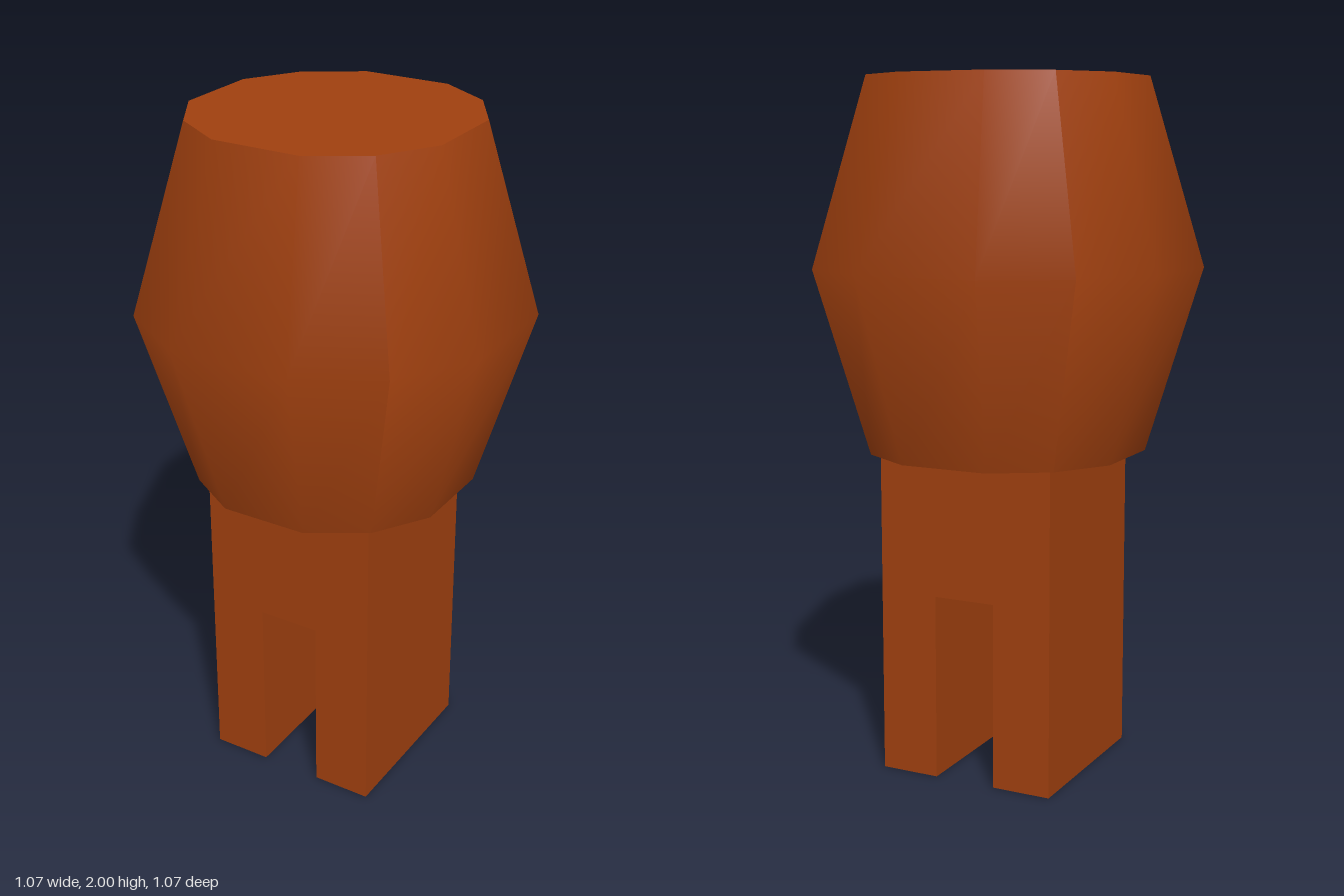
import * as THREE from 'three';

const material = new THREE.MeshStandardMaterial({ color: 0xa0400f });

// One quarter of the twelve-sided outline: three faces between two diagonals
const QUARTER = [[-0.4, 0.4], [-0.18, 0.535], [0.18, 0.535], [0.4, 0.4]];
// Rings of the head from top to bottom: [height, scale of the outline]
const RINGS = [[2, 0.718], [1.47, 1], [0.94, 0.718]];

function add(parent, geometry, name) {
  const mesh = new THREE.Mesh(geometry, material);
  mesh.name = name;
  parent.add(mesh);
  return mesh;
}

// Smooth side patch; the seams between quarters stay sharp
function quarterPatch() {
  const geometry = new THREE.PlaneGeometry(1, 1, 3, 2);
  const pos = geometry.attributes.position;
  for (let i = 0; i < pos.count; i++) {
    const [x, z] = QUARTER[i % 4];
    const [y, s] = RINGS[Math.floor(i / 4)];
    pos.setXYZ(i, x * s, y, z * s);
  }
  geometry.computeVertexNormals();
  return geometry;
}

// Flat twelve-sided cap in the XY plane
function capGeometry(scale) {
  const points = [];
  for (let q = 0; q < 4; q++) {
    for (const [x, y] of QUARTER.slice(0, 3)) {
      points.push(new THREE.Vector2(x, y).multiplyScalar(scale)
        .rotateAround(new THREE.Vector2(), -q * Math.PI / 2));
    }
  }
  return new THREE.ShapeGeometry(new THREE.Shape(points));
}

export function createModel() {
  const model = new THREE.Group();
  model.name = 'notchedPeg';

  // Barrel-shaped head
  const head = new THREE.Group();
  head.name = 'head';
  model.add(head);
  const patch = quarterPatch();
  for (let q = 0; q < 4; q++) {
    add(head, patch, 'headSide').rotation.y = q * Math.PI / 2;
  }
  const cap = capGeometry(RINGS[0][1]);
  const top = add(head, cap, 'headTop');
  top.rotation.x = -Math.PI / 2;
  top.position.y = RINGS[0][0];
  const bottom = add(head, cap, 'headUnderside');
  bottom.rotation.x = Math.PI / 2;
  bottom.position.y = RINGS[2][0];

  // Square stem with a slot running front to back
  const w = 0.267, slot = 0.092, slotTop = 0.54, h = RINGS[2][0];
  const outline = new THREE.Shape([
    [-w, 0], [-slot, 0], [-slot, slotTop], [slot, slotTop],
    [slot, 0], [w, 0], [w, h], [-w, h],
  ].map(([x, y]) => new THREE.Vector2(x, y)));
  const stem = new THREE.ExtrudeGeometry(outline, { depth: 2 * w, bevelEnabled: false });
  stem.translate(0, 0, -w);
  add(model, stem, 'slottedStem');

  return model;
}
